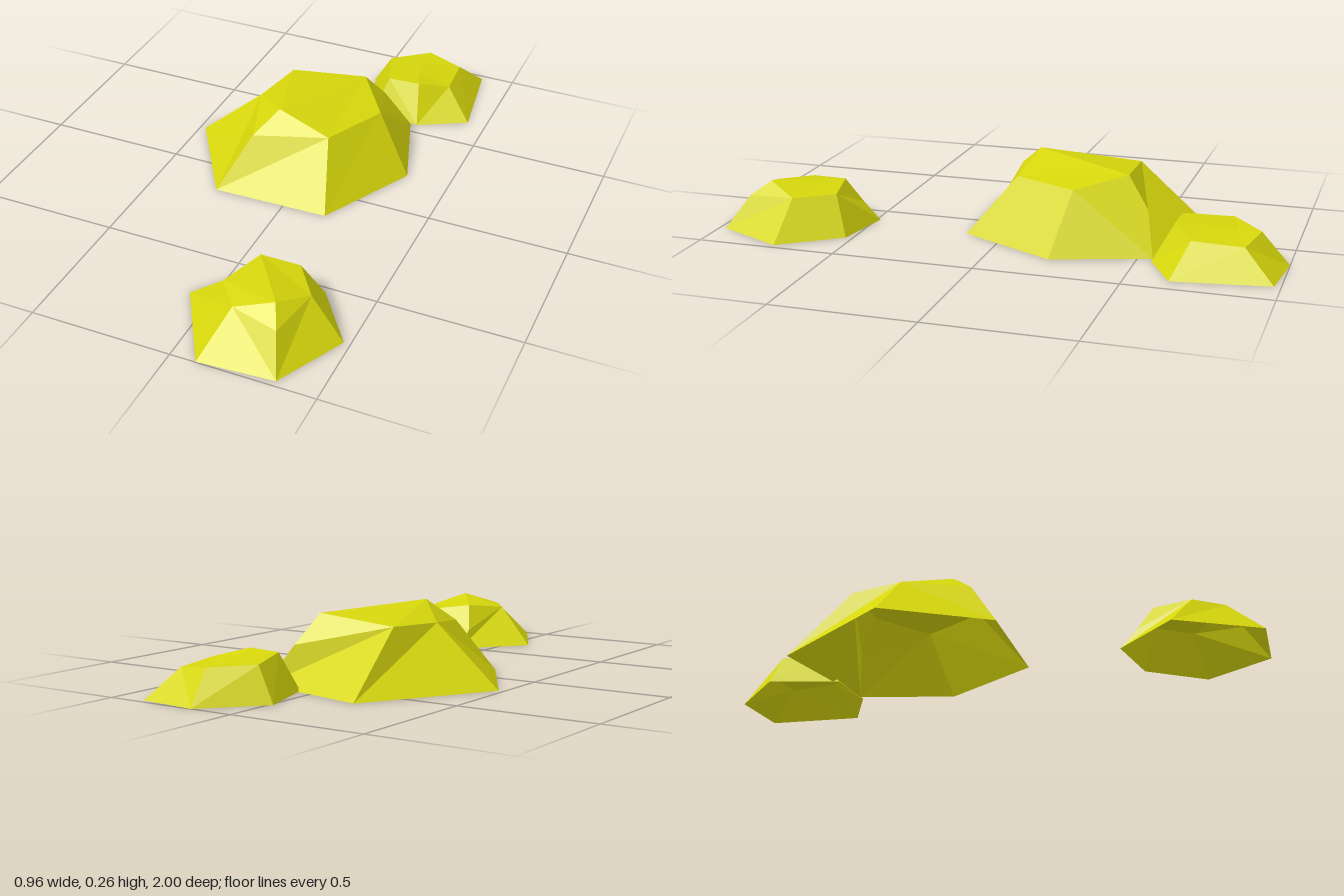
import * as THREE from 'three';

// Each rock: six columns of [baseX, baseZ, shoulderX, shoulderY, shoulderZ],
// counter-clockwise from above, and a two-point ridge on top.
// Columns 0 and 3 are the low shoulders below the ridge ends.
const ROCKS = [
  {
    name: 'largeRock',
    columns: [
      [0.23, -0.55, 0.135, 0.14, -0.51],
      [-0.21, -0.65, -0.2, 0.215, -0.41],
      [-0.48, -0.205, -0.24, 0.21, -0.21],
      [-0.26, 0.145, -0.168, 0.187, 0.025],
      [0.16, 0.135, 0.1, 0.21, -0.035],
      [0.34, -0.215, 0.21, 0.21, -0.265],
    ],
    ridge: [[0.085, 0.243, -0.43], [-0.1, 0.265, -0.062]],
  },
  {
    name: 'frontRock',
    columns: [
      [0.1, 0.487, 0.1, 0.065, 0.55],
      [-0.08, 0.705, 0.07, 0.137, 0.755],
      [0.09, 0.998, 0.153, 0.137, 0.86],
      [0.355, 0.978, 0.317, 0.12, 0.892],
      [0.477, 0.73, 0.357, 0.136, 0.71],
      [0.328, 0.525, 0.265, 0.136, 0.583],
    ],
    ridge: [[0.133, 0.155, 0.605], [0.285, 0.171, 0.823]],
  },
  {
    name: 'backRock',
    columns: [
      [0.16, -1, 0.18, 0.115, -0.905],
      [-0.015, -0.81, 0.055, 0.12, -0.795],
      [0.065, -0.57, 0.11, 0.133, -0.625],
      [0.255, -0.55, 0.23, 0.138, -0.625],
      [0.43, -0.645, 0.33, 0.11, -0.695],
      [0.38, -0.977, 0.315, 0.1, -0.87],
    ],
    ridge: [[0.19, 0.115, -0.83], [0.2, 0.127, -0.71]],
  },
];

function rockGeometry({ columns, ridge }) {
  const base = columns.map(([x, z]) => [x, 0, z]);
  const ring = columns.map(([, , x, y, z]) => [x, y, z]);
  const [back, front] = ridge;
  const points = [];
  const tri = (a, b, c) => points.push(...a, ...b, ...c);
  const quad = (a, b, c, d) => { tri(a, b, c); tri(a, c, d); };

  // Sloping sides, split so that the low shoulders stay convex
  for (let i = 0; i < 6; i++) {
    const j = (i + 1) % 6;
    if (j % 3 === 0) quad(base[j], ring[j], ring[i], base[i]);
    else quad(base[i], base[j], ring[j], ring[i]);
  }
  // Facets around both ridge ends, and the two slopes along the ridge
  tri(ring[5], ring[0], back);
  tri(ring[0], ring[1], back);
  tri(ring[2], ring[3], front);
  tri(ring[3], ring[4], front);
  quad(ring[1], ring[2], front, back);
  quad(ring[4], ring[5], back, front);

  const geometry = new THREE.BufferGeometry();
  geometry.setAttribute('position', new THREE.Float32BufferAttribute(points, 3));
  geometry.computeVertexNormals(); // unshared corners give flat facets
  return geometry;
}

export function createModel() {
  const group = new THREE.Group();
  group.name = 'rocks';
  // The shells are open underneath
  const yellow = new THREE.MeshStandardMaterial({
    name: 'yellowStone', color: 0xd6d60c, flatShading: true, side: THREE.DoubleSide,
  });
  for (const rock of ROCKS) {
    const mesh = new THREE.Mesh(rockGeometry(rock), yellow);
    mesh.name = rock.name;
    group.add(mesh);
  }
  return group;
}
